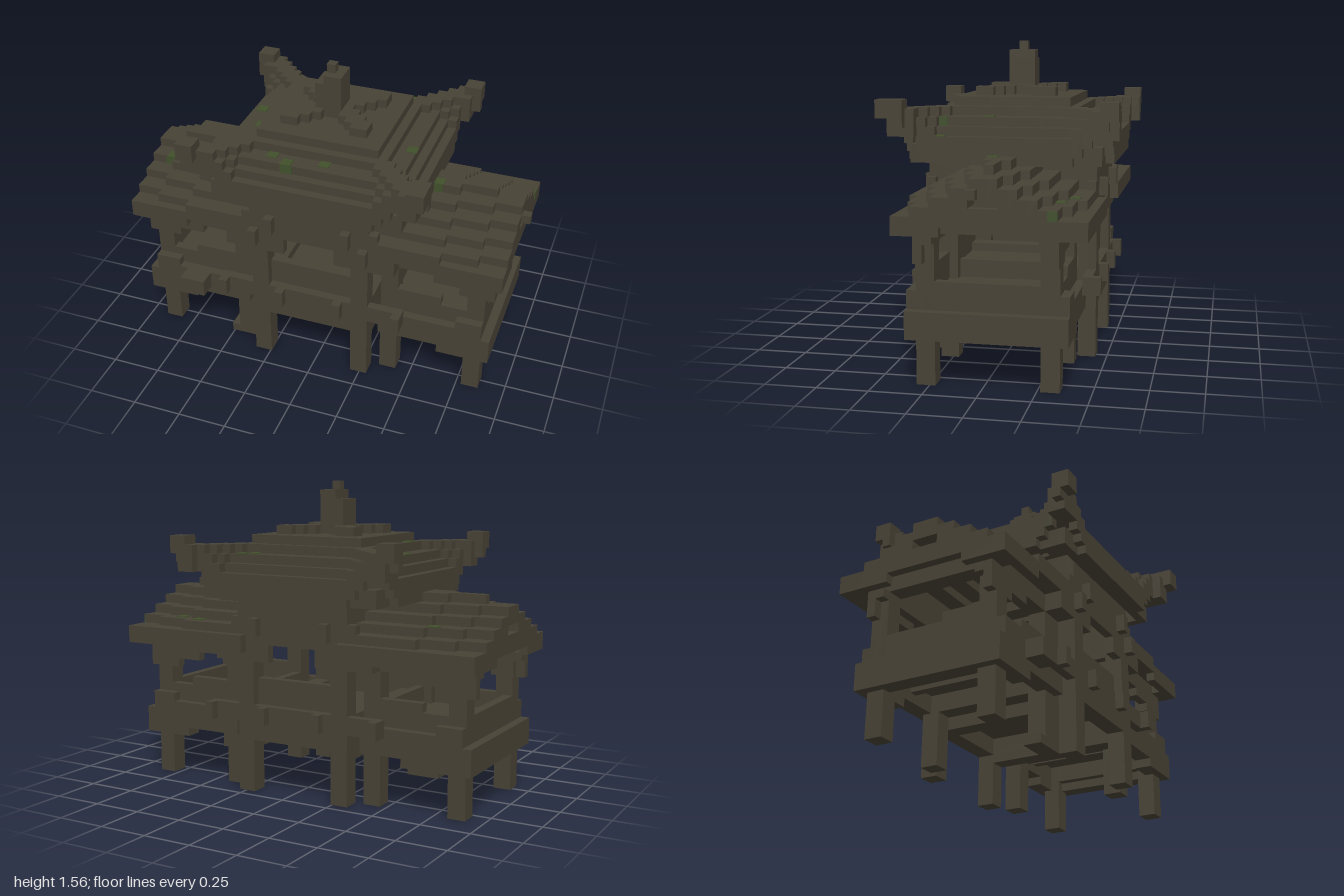
import * as THREE from 'three';
import { mergeGeometries } from 'three/addons/utils/BufferGeometryUtils.js';

const U = 2 / 45; // block size; i, j, k count blocks along x, y, z
const wood = new THREE.MeshStandardMaterial({ color: 0x474235 });
wood.name = 'dark weathered wood';
const moss = new THREE.MeshStandardMaterial({ color: 0x41502c });
moss.name = 'moss';

// Box between block coordinates
function box(i0, i1, j0, j1, k0, k1) {
  const g = new THREE.BoxGeometry((i1 - i0) * U, (j1 - j0) * U, (k1 - k0) * U);
  g.translate(-1 + (i0 + i1) / 2 * U, (j0 + j1) / 2 * U, (k0 + k1) / 2 * U - 13 * U);
  return g;
}

// The same box repeated front and back, left and right, or in all four corners
const mirrorX = (i0, i1, j0, j1, k0, k1) =>
  [box(i0, i1, j0, j1, k0, k1), box(44 - i1, 44 - i0, j0, j1, k0, k1)];
const mirrorZ = (i0, i1, j0, j1, k0, k1) =>
  [box(i0, i1, j0, j1, k0, k1), box(i0, i1, j0, j1, 25 - k1, 25 - k0)];
const four = (i0, i1, j0, j1, k0, k1) =>
  [...mirrorX(i0, i1, j0, j1, k0, k1), ...mirrorX(i0, i1, j0, j1, 25 - k1, 25 - k0)];

// Rectangular frame with beams w blocks wide
const ring = (i0, i1, j0, j1, k0, k1, w) => [
  box(i0, i1, j0, j1, k0, k0 + w), box(i0, i1, j0, j1, k1 - w, k1),
  box(i0, i0 + w, j0, j1, k0 + w, k1 - w), box(i1 - w, i1, j0, j1, k0 + w, k1 - w),
];
const sideRings = (i0, i1, ...r) => [...ring(i0, i1, ...r), ...ring(44 - i1, 44 - i0, ...r)];

// Hip roof: sagging faces between raised diagonal ridges, heights from centre to eave
const FACE = [30, 30, 29, 29, 29, 29, 29, 28, 27, 27, 26, 25];
const RIDGE = [30, 30, 30, 30, 30, 29, 29, 28, 28, 28, 28, 28];
function upperTop(i, k) {
  if (i < 10 || i > 33 || k < 1 || k > 23) return 0;
  const a = Math.abs(i + 0.5 - 22) - 0.5, b = Math.abs(k - 12);
  const m = Math.max(a, b), n = Math.min(a, b);
  return Math.max(FACE[m], RIDGE[m] - Math.max(0, m - n - 1));
}

// Low gabled wing roofs that sink a little toward their ends
function wingTop(i, k) {
  const e = Math.min(i, 43 - i);
  if (e < 0 || e > 14 || k < 2 || k > 21) return 0;
  return Math.max(18, Math.round(23.2 - Math.abs(k - 12) * 0.5 - Math.max(0, 8 - e) * 0.13));
}

// Turn a height rule into runs of equal blocks
function steppedRoof(top, thick) {
  const parts = [];
  for (let k = 0; k < 26; k++) {
    for (let i = 0; i < 45;) {
      const h = top(i, k);
      let n = i + 1;
      while (n < 45 && top(n, k) === h) n++;
      if (h) parts.push(box(i, n, h - thick, h, k, k + 1));
      i = n;
    }
  }
  return parts;
}

export function createModel() {
  const model = new THREE.Group();
  model.name = 'pavilion';
  const add = (name, parts, material = wood) => {
    const mesh = new THREE.Mesh(mergeGeometries(parts), material);
    mesh.name = name;
    model.add(mesh);
  };

  // Central pavilion
  add('pavilionPosts', four(15, 17, 0, 23, 3, 5));
  add('pavilionFloor', [
    ...ring(15, 29, 6, 10, 3, 22, 2), box(17, 27, 8, 9, 5, 20),
    ...mirrorZ(11, 33, 8, 10, 3, 4), ...four(11, 12, 8, 10, 2, 3),
    ...four(18, 19, 8, 10, 2, 3), ...mirrorX(15, 17, 5, 6, 5, 20),
  ]);
  add('pavilionRailings', mirrorZ(17, 27, 10, 13, 4, 5));
  add('pavilionWalls', [
    ...ring(15, 29, 17, 23, 3, 22, 1), ...four(17, 19, 15, 17, 3, 4),
    ...mirrorX(15, 16, 16, 17, 5, 20),
  ]);
  add('wallBrackets', [
    ...four(12, 15, 15, 17, 3, 5), ...four(15, 16, 16, 18, 2, 3),
    ...four(17, 18, 18, 20, 2, 3), ...four(14, 15, 17, 20, 3, 4),
  ]);

  // Side wings
  add('wingPosts', [
    ...four(2, 4, 0, 18, 5, 7), ...four(12, 14, 0, 18, 5, 7),
    box(14, 15, 0, 16, 18, 20), box(11, 12, 0, 1, 18, 20),
  ]);
  add('wingFloors', [
    ...sideRings(2, 14, 6, 9, 4, 21, 2), ...mirrorX(4, 12, 8, 9, 6, 19),
    ...mirrorX(1, 3, 5, 8, 4, 21), ...four(3, 7, 5, 6, 4, 6),
    ...mirrorX(8, 9, 7, 8, 6, 19), box(6, 9, 7, 9, 21, 23),
  ]);
  add('wingRailings', [
    ...sideRings(2, 14, 9, 11, 5, 20, 1), ...four(7, 12, 11, 12, 5, 6),
    ...four(2, 5, 8, 10, 4, 5),
  ]);
  add('wingEaveBeams', [
    ...sideRings(2, 14, 16, 18, 5, 20, 2), ...four(1, 14, 15, 16, 5, 7),
    ...four(1, 5, 13, 15, 5, 6), ...four(5, 8, 14, 15, 5, 6),
    ...mirrorX(0, 1, 16, 18, 3, 8), ...mirrorX(0, 1, 16, 18, 17, 22),
    ...mirrorX(0, 1, 17, 19, 8, 17),
  ]);

  // Roofs
  add('wingRoofs', [...steppedRoof(wingTop, 2), box(44, 45, 20, 21, 13, 14)]);
  add('upperRoof', [...steppedRoof(upperTop, 3), ...ring(11, 33, 22, 24, 2, 23, 1)]);
  add('upturnedCorners', [
    ...four(9, 11, 25, 28, 1, 3), ...four(8, 10, 26, 29, 1, 2),
    ...mirrorX(8, 10, 27, 29, 0, 1), ...mirrorX(9, 11, 25, 28, 0, 1),
    box(8, 10, 27, 29, 23, 25), box(33, 35, 25, 28, 23, 25),
    box(34, 36, 27, 29, 24, 26),
  ]);
  add('finial', [
    box(20, 23, 29, 33, 11, 14), box(21, 23, 33, 34, 11, 14), box(21, 22, 34, 35, 12, 13),
  ]);

  // Moss patches lying on the roof steps
  const spots = [[-0.71, -0.3], [-0.89, 0.1], [-0.45, -0.07], [-0.36, 0.15], [-0.22, 0.33],
    [-0.14, 0.37], [0.04, 0.33], [0.4, 0.06], [0.48, 0.28], [0.53, 0.01], [0.58, -0.37],
    [0.7, -0.33], [0.26, -0.42], [0.22, -0.38]];
  const patches = spots.map(([x, z]) => {
    const i = Math.floor((x + 1) / U), k = Math.floor(z / U + 13);
    const h = Math.max(upperTop(i, k), wingTop(i, k));
    return box(i - 0.1, i + 1.1, h, h + 0.1, k - 0.1, k + 1.1);
  });
  // Moss on the upright faces of the steps
  patches.push(
    box(18.9, 20.3, 26, 27, 22, 22.1), box(32, 32.1, 26, 27, 19, 20),
    box(1.8, 3.2, 20, 21, 16, 16.1), box(34, 35, 22, 23, 14, 14.1),
    box(44, 44.1, 18, 19, 5, 6),
  );
  add('mossPatches', patches, moss);
  return model;
}
